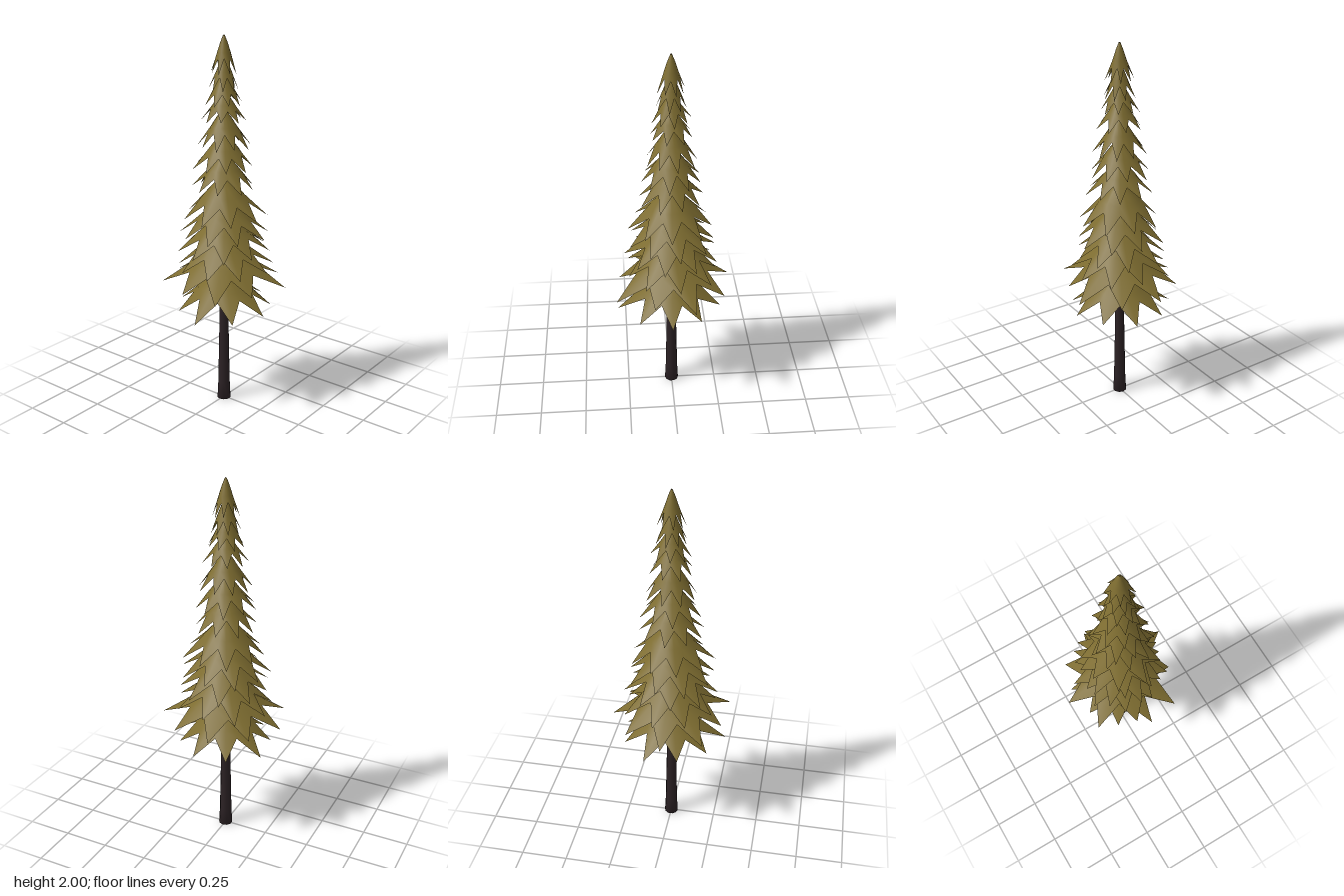
import * as THREE from 'three';

// Small seeded generator for natural variation
function seeded(seed) {
  return () => {
    seed = (seed * 16807) % 2147483647;
    return seed / 2147483647;
  };
}

// Skirt tiers: [tip height, top height, tip radius, first tip angle in degrees, tip count, tip lengths]
const TIERS = [
  [0.56, 0.765, 0.27, 3, 9, [0.27, 0.267, 0.3, 0.257, 0.25, 0.28, 0.264, 0.27, 0.254]],
  [0.697, 0.905, 0.32, 20.5, 9, [0.28, 0.35, 0.288, 0.33, 0.325, 0.31, 0.318, 0.32, 0.342]],
  [0.787, 0.99, 0.26, -7, 9, [0.26, 0.264, 0.242, 0.252, 0.25, 0.262, 0.277, 0.24, 0.27]],
  [0.88, 1.08, 0.245, 12, 9],
  [0.97, 1.17, 0.235, 33, 9],
  [1.07, 1.28, 0.22, 2, 9],
  [1.225, 1.4, 0.17, 22, 9],
  [1.33, 1.51, 0.16, 8, 9],
  [1.44, 1.63, 0.14, 30, 9],
  [1.575, 1.725, 0.115, 15, 8],
  [1.66, 1.81, 0.1, 38, 8],
  [1.73, 1.9, 0.08, 10, 8],
  [1.815, 2.0, 0.07, 28, 8],
];

// Shallow, open umbrella of branches ending in a jagged star edge
function skirtGeometry([yTip, yTop, radius, turn, count, tips], rand) {
  const columns = count * 2;
  const height = yTop - yTip;
  const positions = [];
  const index = [];
  for (let c = 0; c < columns; c++) {
    const isTip = c % 2 === 0;
    const angle = THREE.MathUtils.degToRad(turn + (c * 360) / columns + (rand() - 0.5) * 2);
    const reach = tips ? tips[c / 2] : radius * (0.92 + rand() * 0.14);
    const drop = (rand() - 0.5) * 0.014;
    const rows = [
      [0.004, yTop],
      [radius * 0.25, yTip + height * 0.82],
      [radius * 0.48, yTip + height * 0.55],
      isTip ? [reach, yTip + drop] : [radius * 0.61, yTip + height * 0.37 + drop],
    ];
    for (const [r, y] of rows) positions.push(Math.cos(angle) * r, y, Math.sin(angle) * r);
  }
  for (let c = 0; c < columns; c++) {
    const a = c * 4;
    const b = ((c + 1) % columns) * 4;
    for (let k = 0; k < 3; k++) {
      index.push(a + k, b + k, a + k + 1, b + k, b + k + 1, a + k + 1);
    }
  }
  const geometry = new THREE.BufferGeometry();
  geometry.setAttribute('position', new THREE.Float32BufferAttribute(positions, 3));
  geometry.setIndex(index);
  geometry.computeVertexNormals();
  return geometry;
}

export function createModel() {
  const tree = new THREE.Group();
  tree.name = 'coniferTree';
  const rand = seeded(4271);

  const bark = new THREE.MeshStandardMaterial({ color: 0x2c2225 });
  bark.name = 'darkBark';
  const needles = new THREE.MeshStandardMaterial({ color: 0x7d6c30, side: THREE.DoubleSide });
  needles.name = 'oliveNeedles';

  // Tapering trunk with a slightly flared foot
  const profile = [[0, 0], [0.038, 0], [0.033, 0.1], [0.027, 0.4], [0.024, 0.7], [0.015, 1.4], [0.004, 1.95], [0, 1.95]];
  const trunk = new THREE.Mesh(
    new THREE.LatheGeometry(profile.map(([r, y]) => new THREE.Vector2(r, y)), 10), bark);
  trunk.name = 'trunk';
  tree.add(trunk);

  // Overlapping branch skirts from bottom to top
  const foliage = new THREE.Group();
  foliage.name = 'foliage';
  TIERS.forEach((tier, i) => {
    const skirt = new THREE.Mesh(skirtGeometry(tier, rand), needles);
    skirt.name = `branchSkirt${i + 1}`;
    foliage.add(skirt);
  });
  tree.add(foliage);

  return tree;
}
